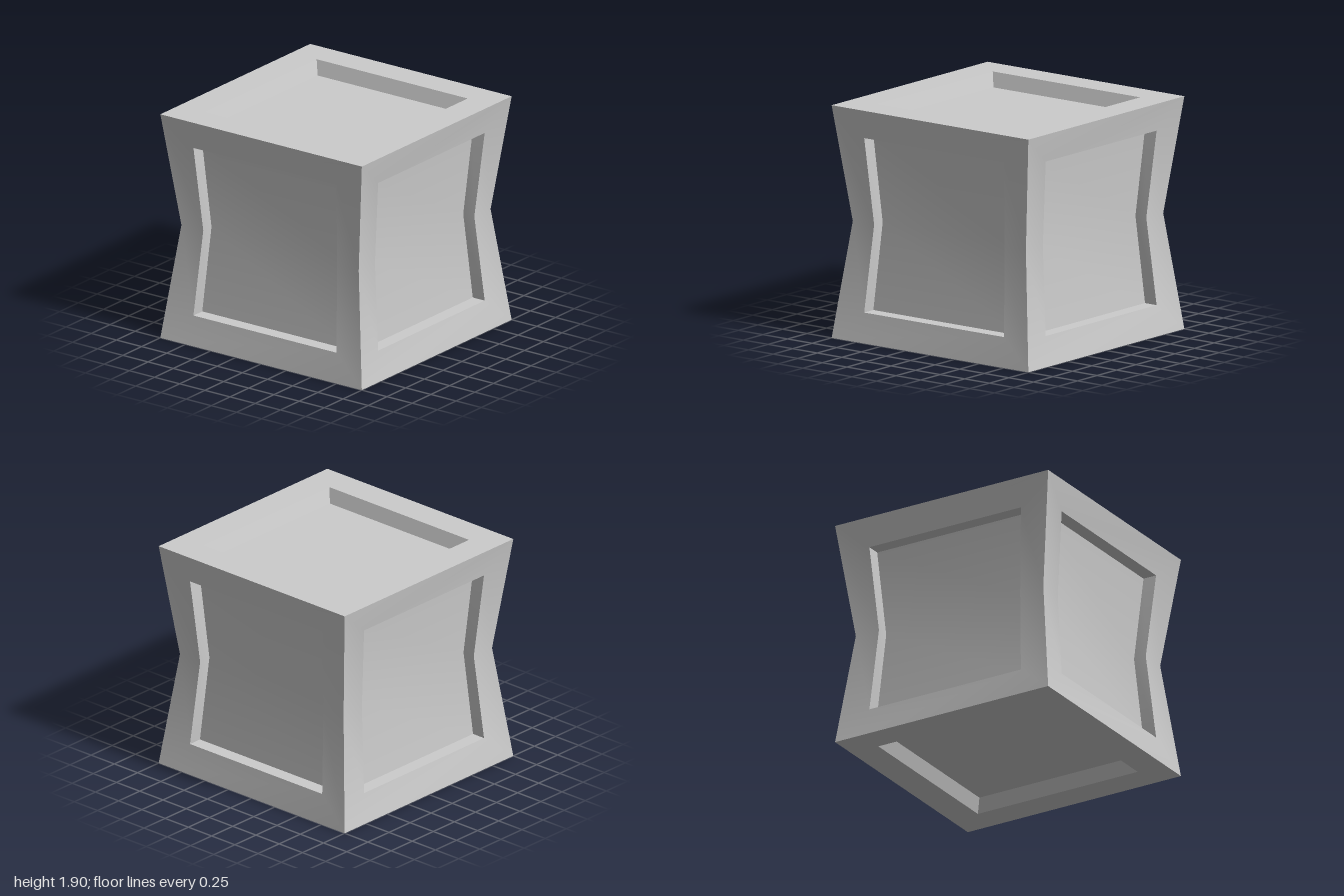
import * as THREE from 'three';
import { toCreasedNormals } from 'three/addons/utils/BufferGeometryUtils.js';

const H = 1.9;
const material = new THREE.MeshStandardMaterial({ color: 0xcccccc });

// Joins closed rings of points one after another and fills the last ring.
function loft(rings) {
  const pos = [];
  const quad = (a, b, c, d) => [a, b, c, a, c, d].forEach((p) => pos.push(...p));
  for (let r = 0; r < rings.length - 1; r++) {
    const a = rings[r], b = rings[r + 1], n = a.length;
    for (let i = 0; i < n; i++) {
      const j = (i + 1) % n;
      quad(a[i], a[j], b[j], b[i]);
    }
  }
  const f = rings[rings.length - 1], n = f.length;
  for (let i = 0; i < n / 2 - 1; i++) quad(f[i], f[i + 1], f[n - 2 - i], f[n - 1 - i]);
  const geo = new THREE.BufferGeometry();
  geo.setAttribute('position', new THREE.Float32BufferAttribute(pos, 3));
  return toCreasedNormals(geo, Math.PI / 6);
}

// Ring of a side: half height, then half width and depth at the ends and at the waist.
function sideRing(h, wEnd, zEnd, wWaist, zWaist) {
  const left = [
    [-wEnd, H / 2 + h, zEnd],
    [-wWaist, H / 2, zWaist],
    [-wEnd, H / 2 - h, zEnd],
  ];
  const right = left.map(([x, y, z]) => [-x, y, z]).reverse();
  return [...left, ...right];
}

const capRing = (s, y) => [[-s, y, -s], [-s, y, s], [s, y, s], [s, y, -s]];

export function createModel() {
  const model = new THREE.Group();
  model.name = 'waistedCrate';

  // Four pinched sides, each a frame around a sunken panel
  const sideGeo = loft([
    sideRing(H / 2, 1, 1, 0.88, 0.88),
    sideRing(0.7125, 0.711, 0.947, 0.663, 0.88),
    sideRing(0.7125, 0.711, 0.829, 0.663, 0.77),
  ]);
  ['front', 'left', 'back', 'right'].forEach((name, i) => {
    const side = new THREE.Mesh(sideGeo, material);
    side.name = name + 'Panel';
    side.rotation.y = (i * Math.PI) / 2;
    model.add(side);
  });

  // Top and bottom, flat frames around a tapered recess
  const capGeo = loft([capRing(1, H), capRing(0.75, H), capRing(0.711, H - 0.118)]);
  const top = new THREE.Mesh(capGeo, material);
  top.name = 'topPanel';
  const bottom = new THREE.Mesh(capGeo, material);
  bottom.name = 'bottomPanel';
  bottom.rotation.x = Math.PI;
  bottom.position.y = H;
  model.add(top, bottom);

  return model;
}
